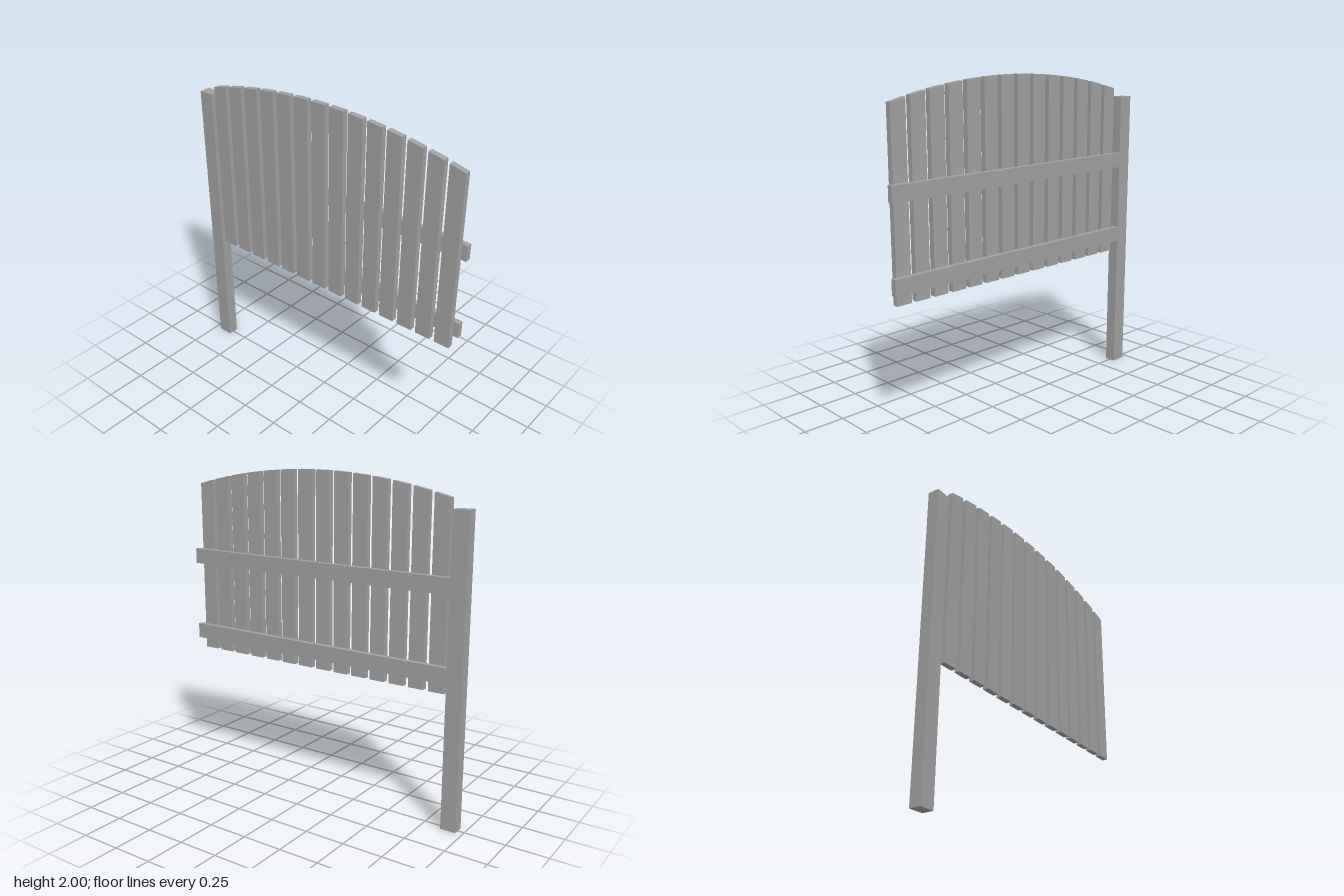
import * as THREE from 'three';

export function createModel() {
  const group = new THREE.Group();
  group.name = 'fencePanel';
  const grey = new THREE.MeshStandardMaterial({ color: 0xa0a0a0 });
  grey.name = 'plain grey';

  const add = (geometry, name) => {
    const mesh = new THREE.Mesh(geometry, grey);
    mesh.name = name;
    group.add(mesh);
  };
  // Box given by its lower and upper corners
  const box = (name, x0, x1, y0, y1, z0, z1) => {
    const g = new THREE.BoxGeometry(x1 - x0, y1 - y0, z1 - z0);
    g.translate((x0 + x1) / 2, (y0 + y1) / 2, (z0 + z1) / 2);
    add(g, name);
  };

  // Single post and the two rails behind the slats
  box('post', -0.96, -0.865, 0, 1.83, -0.035, 0.035);
  box('lowerRail', -0.865, 0.96, 0.868, 0.963, -0.035, 0);
  box('upperRail', -0.865, 0.96, 1.37, 1.465, -0.035, 0);

  // Slats cut along a shallow arc at the top
  const count = 14, width = 0.097, first = -0.786, pitch = 0.1281;
  const middle = first + pitch * (count - 1) / 2, radius = 3.43;
  const arcTop = x => 2 - radius + Math.sqrt(radius ** 2 - (x - middle) ** 2);
  for (let i = 0; i < count; i++) {
    const x0 = first + i * pitch - width / 2, x1 = x0 + width;
    const shape = new THREE.Shape([
      new THREE.Vector2(x0, 0.8),
      new THREE.Vector2(x1, 0.8),
      new THREE.Vector2(x1, arcTop(x1)),
      new THREE.Vector2(x0, arcTop(x0)),
    ]);
    add(new THREE.ExtrudeGeometry(shape, { depth: 0.035, bevelEnabled: false }), 'slat' + (i + 1));
  }
  return group;
}
